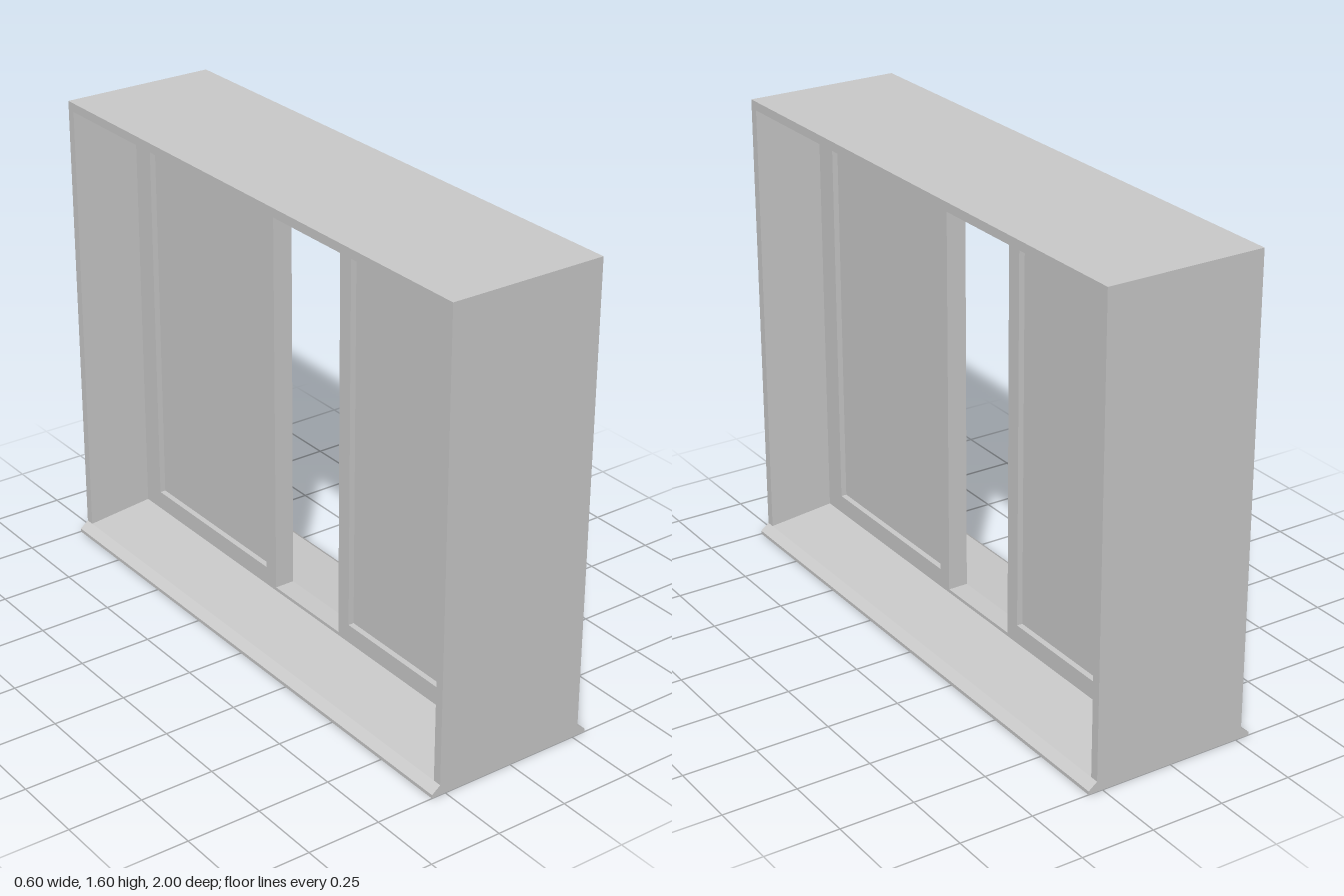
import * as THREE from 'three';

const material = new THREE.MeshStandardMaterial({ color: 0xcccccc });

function addMesh(parent, name, geometry) {
  const mesh = new THREE.Mesh(geometry, material);
  mesh.name = name;
  parent.add(mesh);
  return mesh;
}

function rectPath(path, [u0, u1, v0, v1]) {
  path.moveTo(u0, v0);
  path.lineTo(u1, v0);
  path.lineTo(u1, v1);
  path.lineTo(u0, v1);
  path.closePath();
  return path;
}

// Extrude a shape drawn in (-z, y) through a depth centred on x = 0
function extrudeAcross(shape, depth) {
  return new THREE.ExtrudeGeometry(shape, { depth, bevelEnabled: false })
    .translate(0, 0, -depth / 2)
    .rotateY(Math.PI / 2);
}

function ring(outer, inner, depth) {
  const shape = rectPath(new THREE.Shape(), outer);
  shape.holes.push(rectPath(new THREE.Path(), inner));
  return extrudeAcross(shape, depth);
}

export function createModel() {
  const group = new THREE.Group();
  group.name = 'slidingWindow';

  // Deep outer casing: two jambs and a head
  const casing = new THREE.Shape([
    [-1, 0.03], [-0.97, 0.03], [-0.97, 1.57], [0.97, 1.57],
    [0.97, 0.03], [1, 0.03], [1, 1.6], [-1, 1.6],
  ].map(([u, v]) => new THREE.Vector2(u, v)));
  addMesh(group, 'casing', extrudeAcross(casing, 0.54));

  // Sill falling away to a drip edge on both faces
  const half = [[0.3, 0], [0.3, 0.012], [0.27, 0.035], [0.035, 0.06]];
  const mirrored = half.map(([x, y]) => [-x, y]).reverse();
  const sill = new THREE.Shape([...half, ...mirrored].map(([x, y]) => new THREE.Vector2(x, y)));
  addMesh(group, 'sill',
    new THREE.ExtrudeGeometry(sill, { depth: 2, bevelEnabled: false }).translate(0, 0, -1));

  // Fixed track frame in the middle of the casing
  addMesh(group, 'trackFrame',
    ring([-0.97, 0.97, 0.05, 1.57], [-0.935, 0.935, 0.072, 1.535], 0.07));

  // Two sashes slid apart, each with a recessed pane
  for (const side of [-1, 1]) {
    const sash = new THREE.Group();
    sash.name = side > 0 ? 'frontSash' : 'backSash';
    addMesh(sash, 'sashFrame',
      ring([-0.38, 0.38, 0.072, 1.535], [-0.33, 0.325, 0.125, 1.48], 0.07));
    addMesh(sash, 'pane', new THREE.BoxGeometry(0.03, 1.355, 0.655))
      .position.set(0, 0.8025, 0.0025);
    sash.position.z = side * 0.555;
    if (side < 0) sash.rotation.y = Math.PI;
    group.add(sash);
  }

  return group;
}
